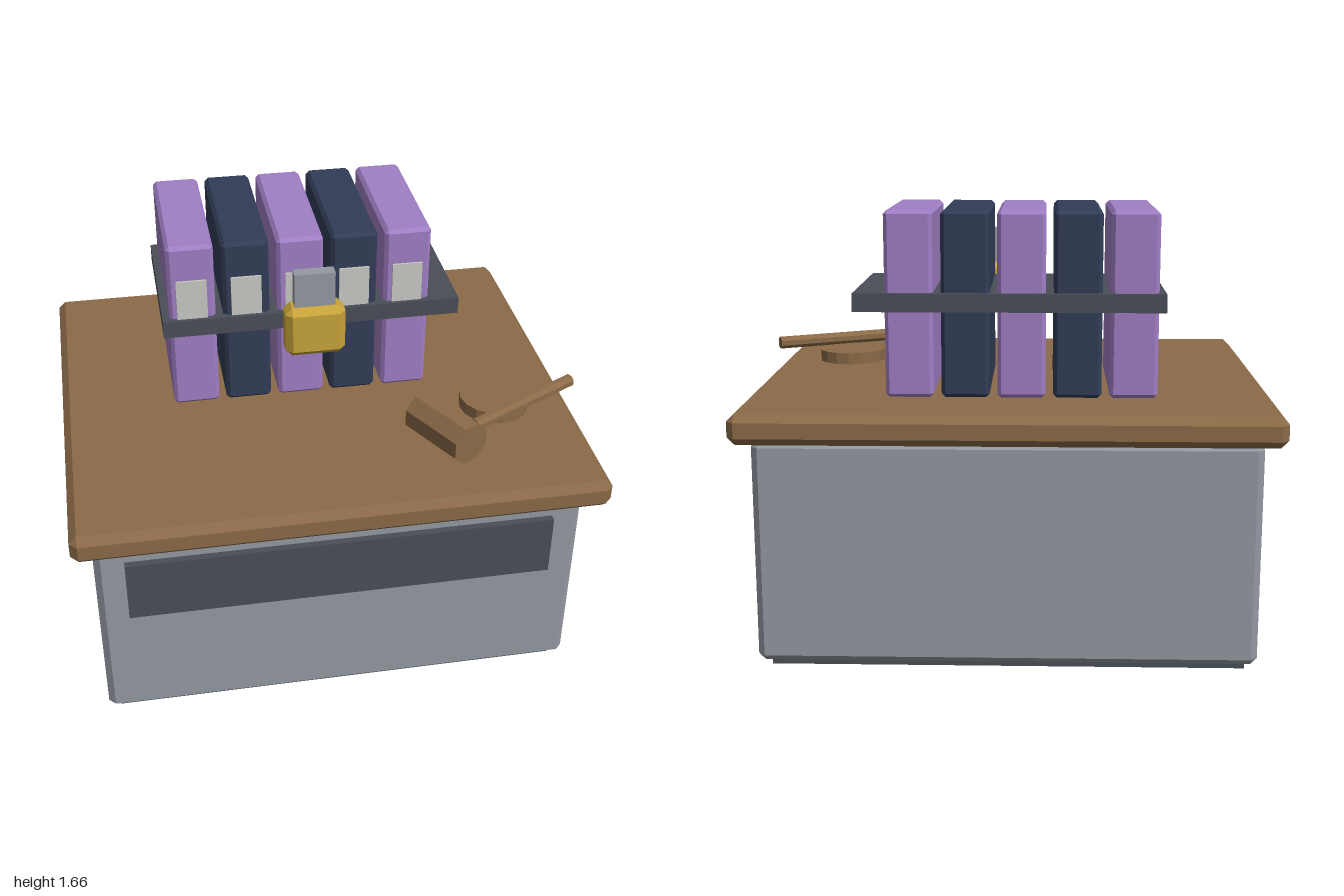
import * as THREE from 'three';
import { ConvexGeometry } from 'three/addons/geometries/ConvexGeometry.js';

function mat(name, color) {
  const m = new THREE.MeshStandardMaterial({ color });
  m.name = name;
  return m;
}

// Box given by its extents, with every edge cut by a flat chamfer c
function chamferBox([x0, x1], [y0, y1], [z0, z1], c) {
  const h = [(x1 - x0) / 2, (y1 - y0) / 2, (z1 - z0) / 2];
  const pts = [];
  for (const sx of [-1, 1]) for (const sy of [-1, 1]) for (const sz of [-1, 1])
    for (let axis = 0; axis < 3; axis++) {
      const p = [sx, sy, sz].map((s, i) => s * (i === axis ? h[i] : h[i] - c));
      pts.push(new THREE.Vector3(...p));
    }
  return new ConvexGeometry(pts).translate((x0 + x1) / 2, (y0 + y1) / 2, (z0 + z1) / 2);
}

function box([x0, x1], [y0, y1], [z0, z1]) {
  return new THREE.BoxGeometry(x1 - x0, y1 - y0, z1 - z0)
    .translate((x0 + x1) / 2, (y0 + y1) / 2, (z0 + z1) / 2);
}

// Faceted cylinder lying flat along the direction (dx, dz)
function lyingCylinder(radius, length, sides, dx, dz) {
  return new THREE.CylinderGeometry(radius, radius, length, sides)
    .toNonIndexed()
    .rotateY(Math.PI / sides)
    .rotateZ(-Math.PI / 2)
    .rotateY(Math.atan2(-dz, dx));
}

function flat(geometry) {
  const g = geometry.index ? geometry.toNonIndexed() : geometry;
  g.computeVertexNormals();
  return g;
}

export function createModel() {
  const group = new THREE.Group();
  const wood = mat('wood', 0x8b6a48);
  const grey = mat('grey metal', 0x9498a1);
  const slate = mat('dark slate', 0x4a4e58);
  const purple = mat('purple cover', 0xa07ec5);
  const navy = mat('navy cover', 0x313c56);
  const gold = mat('gold', 0xc6a33a);
  const paper = mat('label paper', 0xc8c9c4);

  const add = (name, geometry, material) => {
    const mesh = new THREE.Mesh(geometry, material);
    mesh.name = name;
    group.add(mesh);
    return mesh;
  };

  // Desk
  add('plinth', box([-0.885, 0.86], [0, 0.05], [-0.735, 0.693]), slate);
  add('deskBody', chamferBox([-0.928, 0.905], [0.025, 0.86], [-0.78, 0.738], 0.025), grey);
  add('frontPanel', box([-0.817, 0.79], [0.513, 0.76], [0.72, 0.765]), slate);
  add('deskTop', chamferBox([-1, 0.975], [0.857, 0.97], [-0.85, 0.85], 0.028), wood);

  // Row of books with spine labels
  for (let i = 0; i < 5; i++) {
    const x = -0.473 + i * 0.207;
    add('book', chamferBox([x - 0.089, x + 0.089], [0.97, 1.66], [-0.528, 0.068], 0.014),
      i % 2 ? navy : purple);
    add('bookLabel', box([x - 0.058, x + 0.058], [1.32, 1.52], [0.067, 0.076]), paper);
  }

  // Strap around the books, with its padlock
  add('strap', box([-0.588, 0.56], [1.292, 1.36], [-0.55, 0.09]), slate);
  add('lockBody', chamferBox([-0.13, 0.102], [1.2, 1.408], [0.065, 0.172], 0.026), gold);
  add('lockShackle', box([-0.093, 0.063], [1.38, 1.545], [0.093, 0.143]), grey);

  // Gavel and its sounding block
  add('gavelHead', flat(lyingCylinder(0.084, 0.277, 8, 0.474, 0.88)), wood).position.set(0.42, 1.05, 0.505);
  add('gavelHandle', flat(lyingCylinder(0.026, 0.51, 8, 0.884, -0.468)), wood).position.set(0.76, 1.04, 0.38);
  add('soundingBlock', flat(new THREE.CylinderGeometry(0.136, 0.136, 0.05, 16)), wood)
    .position.set(0.676, 0.992, 0.272);

  return group;
}
